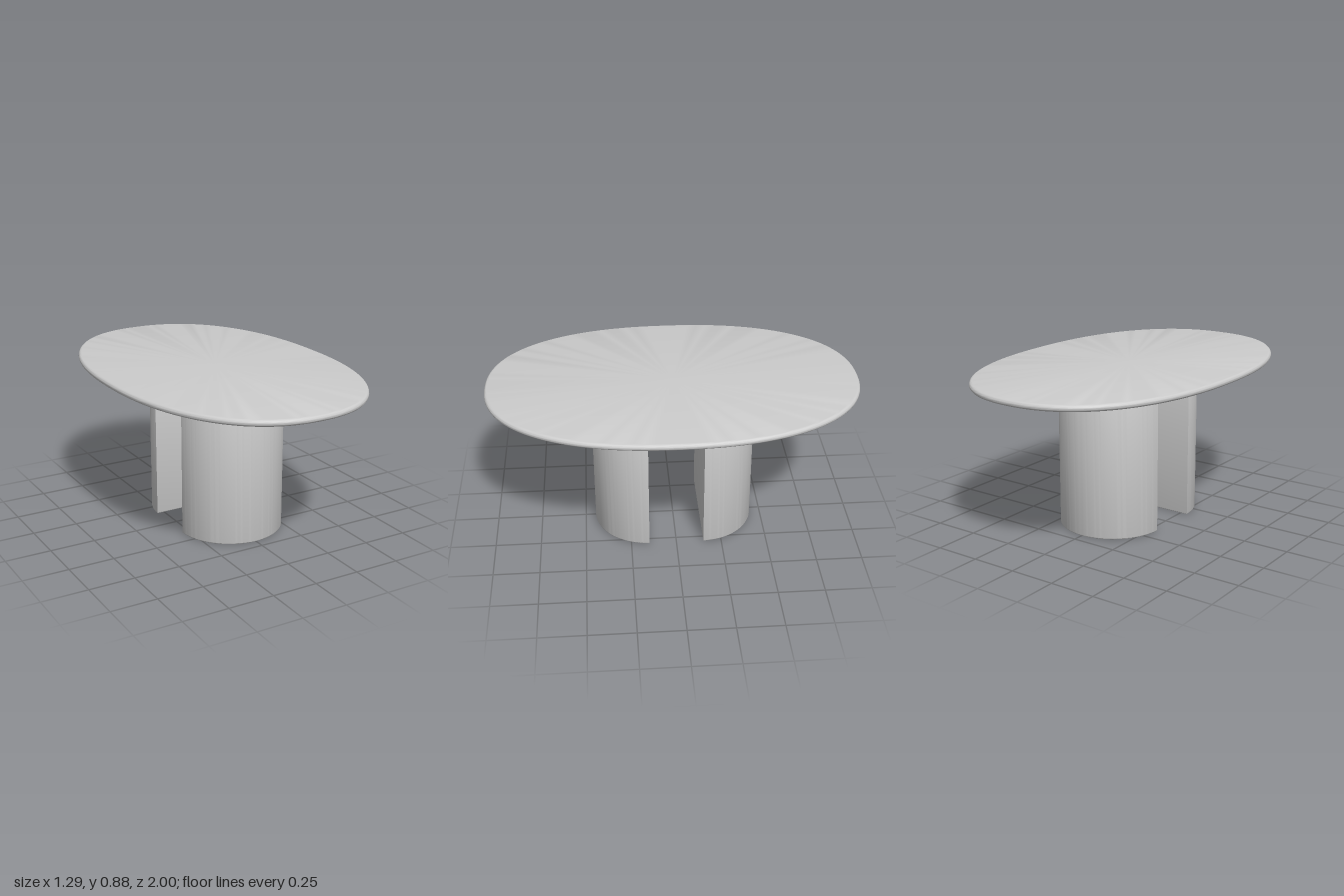
import * as THREE from 'three';
import { toCreasedNormals } from 'three/addons/utils/BufferGeometryUtils.js';

const material = new THREE.MeshStandardMaterial({ color: 0xcccccc });
const HALF_X = 0.645, HALF_Z = 1, POWER = 2.27;

// Point on the rounded oval outline, moved inwards along its normal.
function outlinePoint(angle, inset) {
  const c = Math.cos(angle), s = Math.sin(angle);
  const cx = Math.sign(c) * Math.abs(c) ** (2 / POWER);
  const sz = Math.sign(s) * Math.abs(s) ** (2 / POWER);
  const nx = Math.sign(c) * Math.abs(cx) ** (POWER - 1) / HALF_X;
  const nz = Math.sign(s) * Math.abs(sz) ** (POWER - 1) / HALF_Z;
  const len = Math.hypot(nx, nz);
  return [HALF_X * cx - inset * nx / len, HALF_Z * sz - inset * nz / len];
}

// Closed oval slab lofted through [inset, y] rings from bottom to top.
function ovalSlab(name, rings, segments = 128) {
  const positions = [], index = [];
  for (const [inset, y] of rings) {
    for (let i = 0; i < segments; i++) {
      const [x, z] = outlinePoint((i / segments) * Math.PI * 2, inset);
      positions.push(x, y, z);
    }
  }
  const last = rings.length - 1;
  const bottom = positions.length / 3, top = bottom + 1;
  positions.push(0, rings[0][1], 0, 0, rings[last][1], 0);
  for (let i = 0; i < segments; i++) {
    const j = (i + 1) % segments;
    for (let r = 0; r < last; r++) {
      const a = r * segments + i, b = r * segments + j;
      index.push(a, a + segments, b, b, a + segments, b + segments);
    }
    index.push(bottom, i, j, top, last * segments + j, last * segments + i);
  }
  const geometry = new THREE.BufferGeometry();
  geometry.setAttribute('position', new THREE.Float32BufferAttribute(positions, 3));
  geometry.setIndex(index);
  const mesh = new THREE.Mesh(toCreasedNormals(geometry, 0.6), material);
  mesh.name = name;
  return mesh;
}

// Half-round column, flat side at z = 0, with softened top and bottom edges.
function halfColumn() {
  const radius = 0.293, height = 0.832, bevel = 0.006;
  const shape = new THREE.Shape();
  shape.absarc(0, 0, radius, Math.PI, Math.PI * 2, false);
  shape.closePath();
  const geometry = new THREE.ExtrudeGeometry(shape, {
    depth: height - 2 * bevel, curveSegments: 48, bevelEnabled: true,
    bevelSize: bevel, bevelThickness: bevel, bevelOffset: -bevel, bevelSegments: 3,
  });
  geometry.translate(0, 0, bevel).rotateX(-Math.PI / 2);
  return toCreasedNormals(geometry, 0.6);
}

export function createModel() {
  const model = new THREE.Group();
  model.name = 'ovalTable';

  // Table top with a full rounded edge
  const r = 0.0175, middle = 0.8595, edge = [];
  for (let i = 0; i <= 10; i++) {
    const a = -Math.PI / 2 + (i / 10) * Math.PI;
    edge.push([r - r * Math.cos(a), middle + r * Math.sin(a)]);
  }
  model.add(ovalSlab('tableTop', edge));

  // Thin plate under the top
  model.add(ovalSlab('underPlate', [[0.235, 0.831], [0.235, 0.843]]));

  // Two half-round legs, flat sides facing each other
  const legGeometry = halfColumn();
  for (const side of [1, -1]) {
    const leg = new THREE.Mesh(legGeometry, material);
    leg.name = side > 0 ? 'frontLeg' : 'backLeg';
    leg.position.z = side * 0.15;
    leg.rotation.y = side > 0 ? 0 : Math.PI;
    model.add(leg);
  }
  return model;
}
